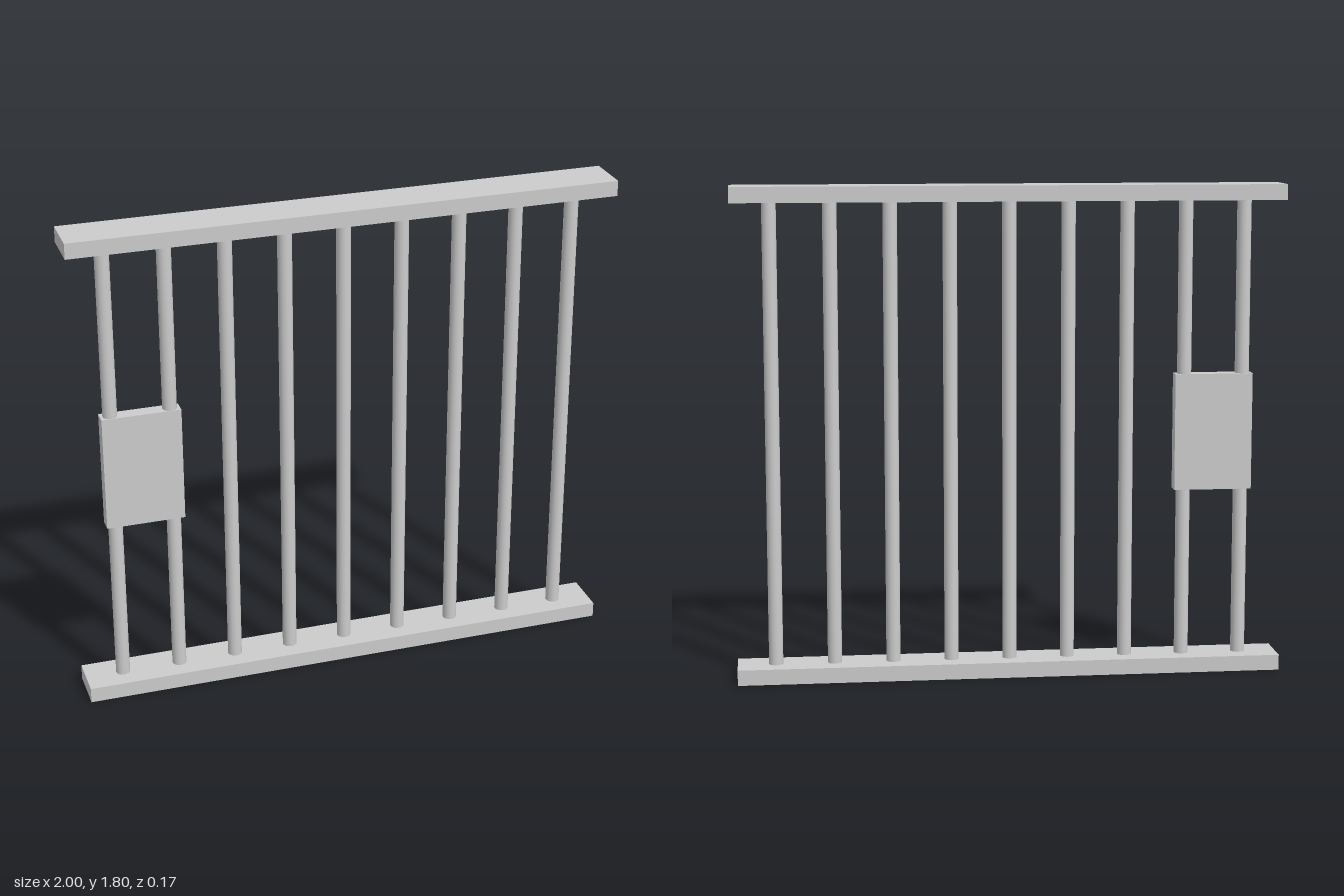
import * as THREE from 'three';

export function createModel() {
  const model = new THREE.Group();
  model.name = 'barredPanel';
  const material = new THREE.MeshStandardMaterial({ color: 0xcccccc });

  const height = 1.8, railHeight = 0.057, railDepth = 0.17;
  const barCount = 9, barSpacing = 0.215, barRadius = 0.026;

  function add(name, geometry, x, y, z = 0) {
    const mesh = new THREE.Mesh(geometry, material);
    mesh.name = name;
    mesh.position.set(x, y, z);
    model.add(mesh);
  }

  // Flat rails along the floor and the top
  const rail = new THREE.BoxGeometry(2, railHeight, railDepth);
  add('bottomRail', rail, 0, railHeight / 2);
  add('topRail', rail, 0, height - railHeight / 2);

  // Evenly spaced round bars between the rails
  const bar = new THREE.CylinderGeometry(barRadius, barRadius, height - 2 * railHeight, 24);
  for (let i = 0; i < barCount; i++) {
    add(`bar${i + 1}`, bar, (i - (barCount - 1) / 2) * barSpacing, height / 2);
  }

  // Lock box enclosing the two bars at the model's right end
  add('lockBox', new THREE.BoxGeometry(0.287, 0.43, 0.054), -0.752, 0.893);

  return model;
}
